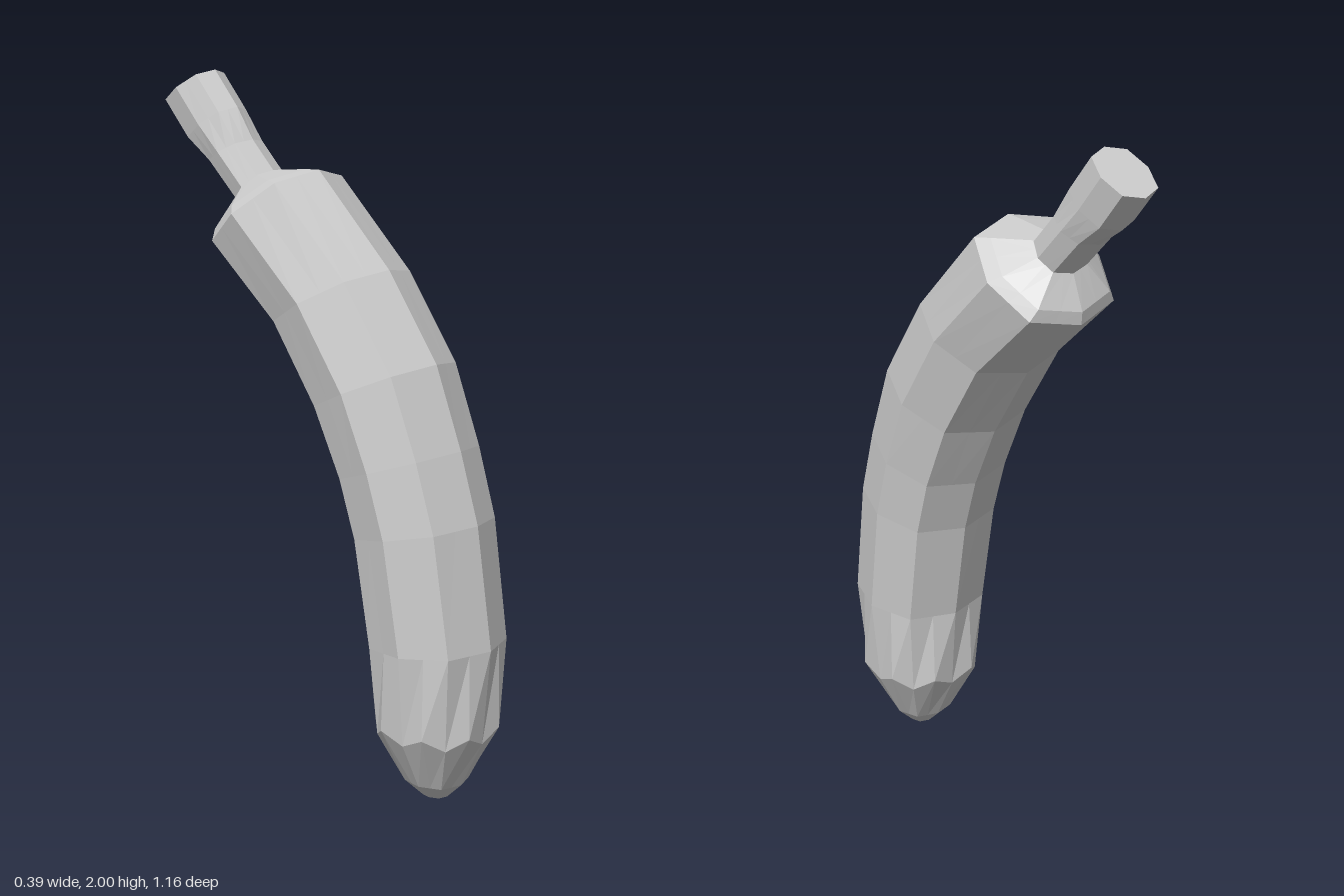
import * as THREE from 'three';

const DIAG = 0.755; // diagonal corners of the slightly squared octagon

// Corner positions around a ring as [front, side]; odd entries are mid-edge points
function ringPattern() {
  const corners = [[1, 0], [DIAG, DIAG], [0, 1], [-DIAG, DIAG], [-1, 0], [-DIAG, -DIAG], [0, -1], [DIAG, -DIAG]];
  return corners.flatMap((c, i) => {
    const n = corners[(i + 1) % 8];
    return [c, [(c[0] + n[0]) / 2, (c[1] + n[1]) / 2]];
  });
}

// Each ring: [front z, front y, back z, back y, half width, mid-edge scale, mid-edge lift]
function loft(rings) {
  const pattern = ringPattern();
  const n = pattern.length;
  const pos = [];
  const index = [];
  const centres = [];
  for (const [fz, fy, bz, by, w, scale = 1, lift = 0] of rings) {
    const cz = (fz + bz) / 2, cy = (fy + by) / 2;
    centres.push([0, cy, cz]);
    pattern.forEach(([f, s], k) => {
      const m = k % 2 ? scale : 1;
      pos.push(s * w * m, cy + f * m * (fy - cy) + (k % 2 ? lift : 0), cz + f * m * (fz - cz));
    });
  }
  for (let r = 0; r < rings.length - 1; r++) {
    for (let i = 0; i < n; i++) {
      const a = r * n + i, b = r * n + (i + 1) % n;
      index.push(a, b, b + n, a, b + n, a + n);
    }
  }
  // end caps
  const last = rings.length - 1;
  const c0 = pos.length / 3;
  pos.push(...centres[0], ...centres[last]);
  for (let i = 0; i < n; i++) {
    const j = (i + 1) % n;
    index.push(c0, j, i, c0 + 1, last * n + i, last * n + j);
  }
  const g = new THREE.BufferGeometry();
  g.setAttribute('position', new THREE.Float32BufferAttribute(pos, 3));
  g.setIndex(index);
  const flat = g.toNonIndexed();
  flat.computeVertexNormals();
  return flat;
}

export function createModel() {
  const group = new THREE.Group();
  group.name = 'curvedVegetable';
  const material = new THREE.MeshStandardMaterial({ color: 0xcccccc, flatShading: true });
  const add = (name, rings) => {
    const mesh = new THREE.Mesh(loft(rings), material);
    mesh.name = name;
    group.add(mesh);
  };

  // curved body: blunt tip, scalloped tip edge, bend, sloping shoulder
  add('body', [
    [0.437, 0, 0.363, 0, 0.037],
    [0.485, 0.045, 0.315, 0.045, 0.085],
    [0.555, 0.183, 0.241, 0.183, 0.157, 1.19, 0.032],
    [0.58, 0.455, 0.22, 0.43, 0.182],
    [0.53, 0.8, 0.17, 0.73, 0.189],
    [0.47, 1.0, 0.12, 0.89, 0.192],
    [0.385, 1.23, 0.03, 1.08, 0.195],
    [0.22, 1.475, -0.115, 1.3, 0.195],
    [-0.03, 1.735, -0.34, 1.5, 0.195],
    [-0.078, 1.734, -0.343, 1.537, 0.165],
    [-0.195, 1.725, -0.305, 1.635, 0.078],
  ]);

  // stem, flaring towards its cut end
  add('stem', [
    [-0.195, 1.72, -0.3, 1.63, 0.078],
    [-0.275, 1.807, -0.407, 1.738, 0.078],
    [-0.333, 1.897, -0.492, 1.796, 0.079],
    [-0.418, 2.0, -0.578, 1.9, 0.08],
  ]);

  return group;
}
